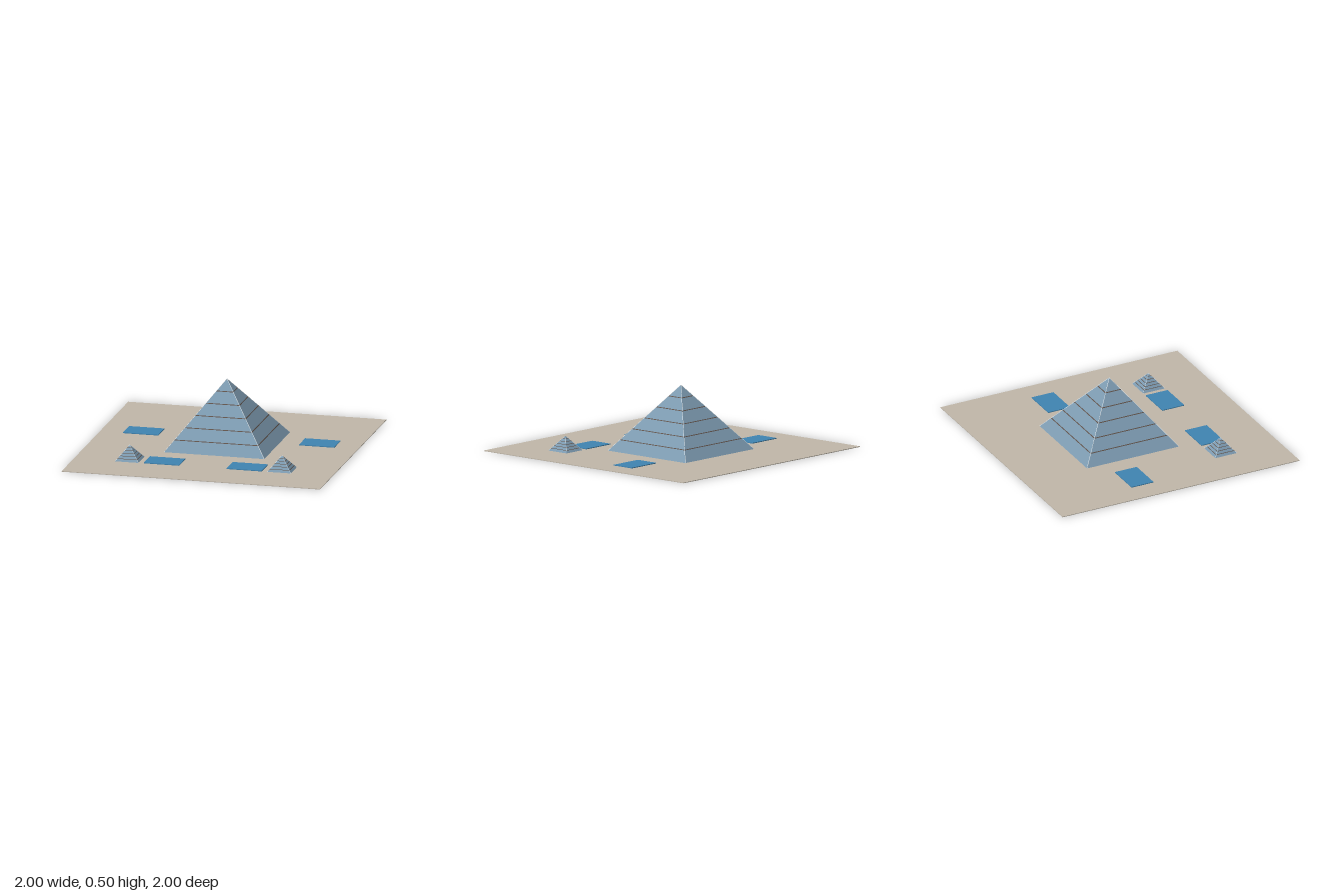
import * as THREE from 'three';

const mat = (name, color) => {
  const m = new THREE.MeshStandardMaterial({ color, flatShading: true });
  m.name = name;
  return m;
};

export function createModel() {
  const sand = mat('sand', 0xbfb6a8);
  const water = mat('water blue', 0x3f83b0);
  const glass = mat('steel blue', 0x7c9ab0);
  const seam = mat('dark brown', 0x5e5048);
  const ridge = mat('pale ridge', 0xdde5ea);

  const model = new THREE.Group();
  model.name = 'pyramidCourt';
  const groundTop = 0.005;

  const add = (parent, name, geometry, material, x = 0, y = 0, z = 0) => {
    const mesh = new THREE.Mesh(geometry, material);
    mesh.name = name;
    mesh.position.set(x, y, z);
    parent.add(mesh);
    return mesh;
  };

  // Square frustum given by half widths, standing on y = 0
  const frustum = (top, bottom, height) =>
    new THREE.CylinderGeometry(top * Math.SQRT2, bottom * Math.SQRT2, height, 4)
      .rotateY(Math.PI / 4)
      .translate(0, height / 2, 0);

  // Pyramid with five horizontal seams and four pale ridges
  const pyramid = (name, x, z, half, height, seamHeight, proud, ridgeRadius) => {
    const group = new THREE.Group();
    group.name = name;
    group.position.set(x, groundTop, z);
    add(group, 'pyramidBody', frustum(0, half, height), glass);

    const halfAt = (y) => half * (1 - y / height) + proud;
    for (let i = 1; i <= 5; i++) {
      const y = (height * i) / 6 - seamHeight / 2;
      add(group, 'seam', frustum(halfAt(y + seamHeight), halfAt(y), seamHeight), seam, 0, y, 0);
    }

    const apex = new THREE.Vector3(0, height, 0);
    for (const sx of [-1, 1]) {
      for (const sz of [-1, 1]) {
        const corner = new THREE.Vector3(sx * half, 0, sz * half);
        const edge = new THREE.LineCurve3(corner, apex);
        add(group, 'ridge', new THREE.TubeGeometry(edge, 1, ridgeRadius, 6), ridge);
      }
    }
    model.add(group);
  };

  // Ground slab
  add(model, 'ground', new THREE.BoxGeometry(2, groundTop, 2), sand, 0, groundTop / 2, 0);

  pyramid('mainPyramid', 0, -0.09, 0.388, 0.495, 0.005, 0.001, 0.002);

  // Mirrored small pyramids and pools
  for (const side of [-1, 1]) {
    pyramid('smallPyramid', side * 0.59, 0.545, 0.091, 0.11, 0.003, 0.0008, 0.0012);
    for (const [x, z] of [[0.682, -0.232], [0.32, 0.545]]) {
      add(model, 'pool', new THREE.BoxGeometry(0.273, 0.006, 0.184), water, side * x, groundTop + 0.003, z);
    }
  }
  return model;
}
